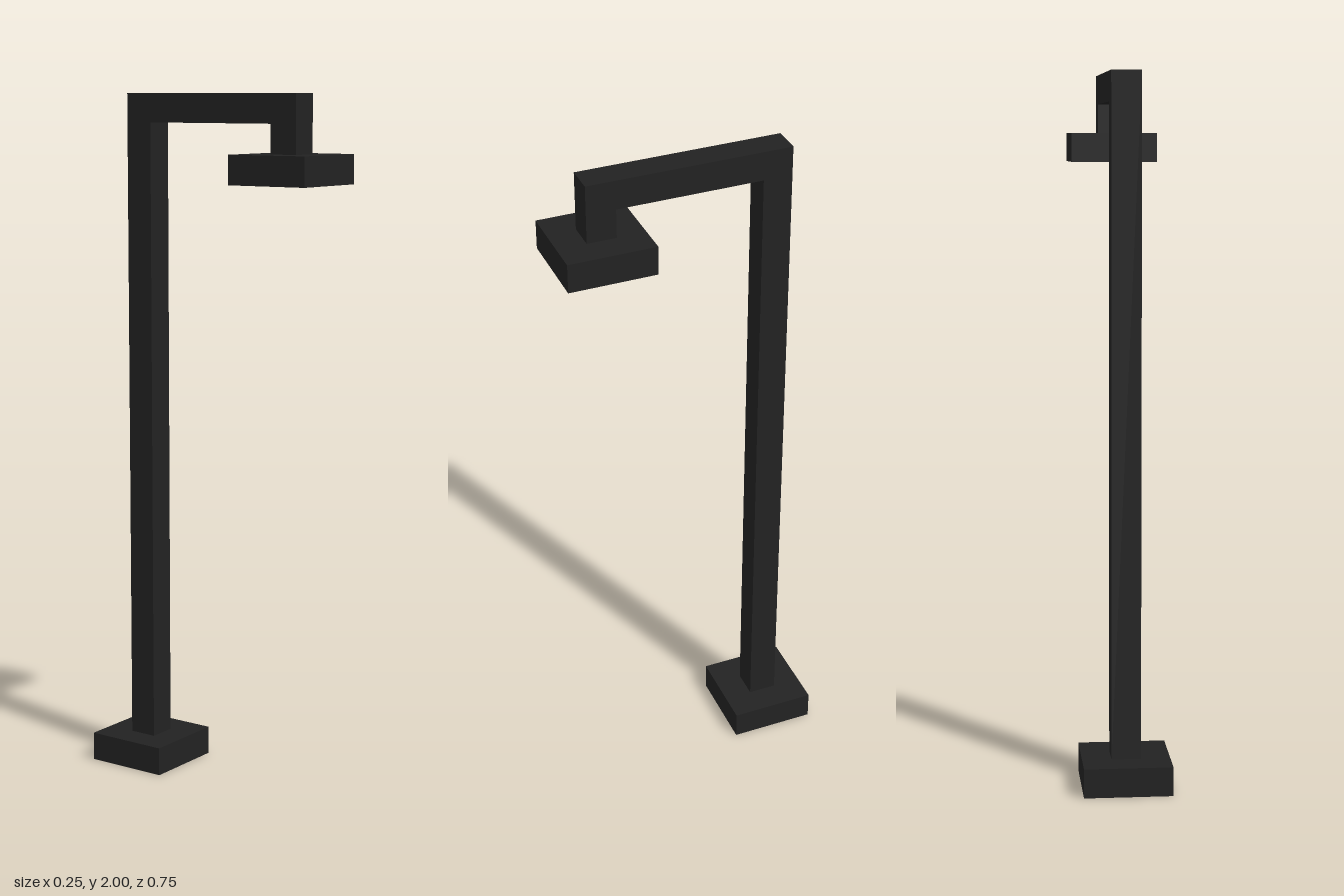
import * as THREE from 'three';

const U = 1 / 12; // bar thickness; every size is a multiple of it

export function createModel() {
  const group = new THREE.Group();
  const darkMetal = new THREE.MeshStandardMaterial({ color: 0x222222 });
  darkMetal.name = 'darkMetal';

  // box spanning y0..y1, centred on x = 0 and the given z (all in bar thicknesses)
  const addBox = (name, width, depth, y0, y1, z) => {
    const mesh = new THREE.Mesh(new THREE.BoxGeometry(width * U, (y1 - y0) * U, depth * U), darkMetal);
    mesh.position.set(0, ((y0 + y1) / 2) * U, z * U);
    mesh.name = name;
    group.add(mesh);
  };

  addBox('basePlate', 3, 3, 0, 1, -3);
  addBox('lampHead', 3, 3, 21, 22, 3);

  // post, overhead arm and hanger as one bent square bar, drawn in the z-y plane
  const outline = [[-3.5, 1], [-2.5, 1], [-2.5, 23], [2.5, 23], [2.5, 22], [3.5, 22], [3.5, 24], [-3.5, 24]];
  const shape = new THREE.Shape(outline.map(([z, y]) => new THREE.Vector2(z * U, y * U)));
  const bar = new THREE.ExtrudeGeometry(shape, { depth: U, bevelEnabled: false });
  bar.translate(0, 0, -U / 2).rotateY(-Math.PI / 2); // profile x becomes z
  const post = new THREE.Mesh(bar, darkMetal);
  post.name = 'postAndArm';
  group.add(post);

  return group;
}
